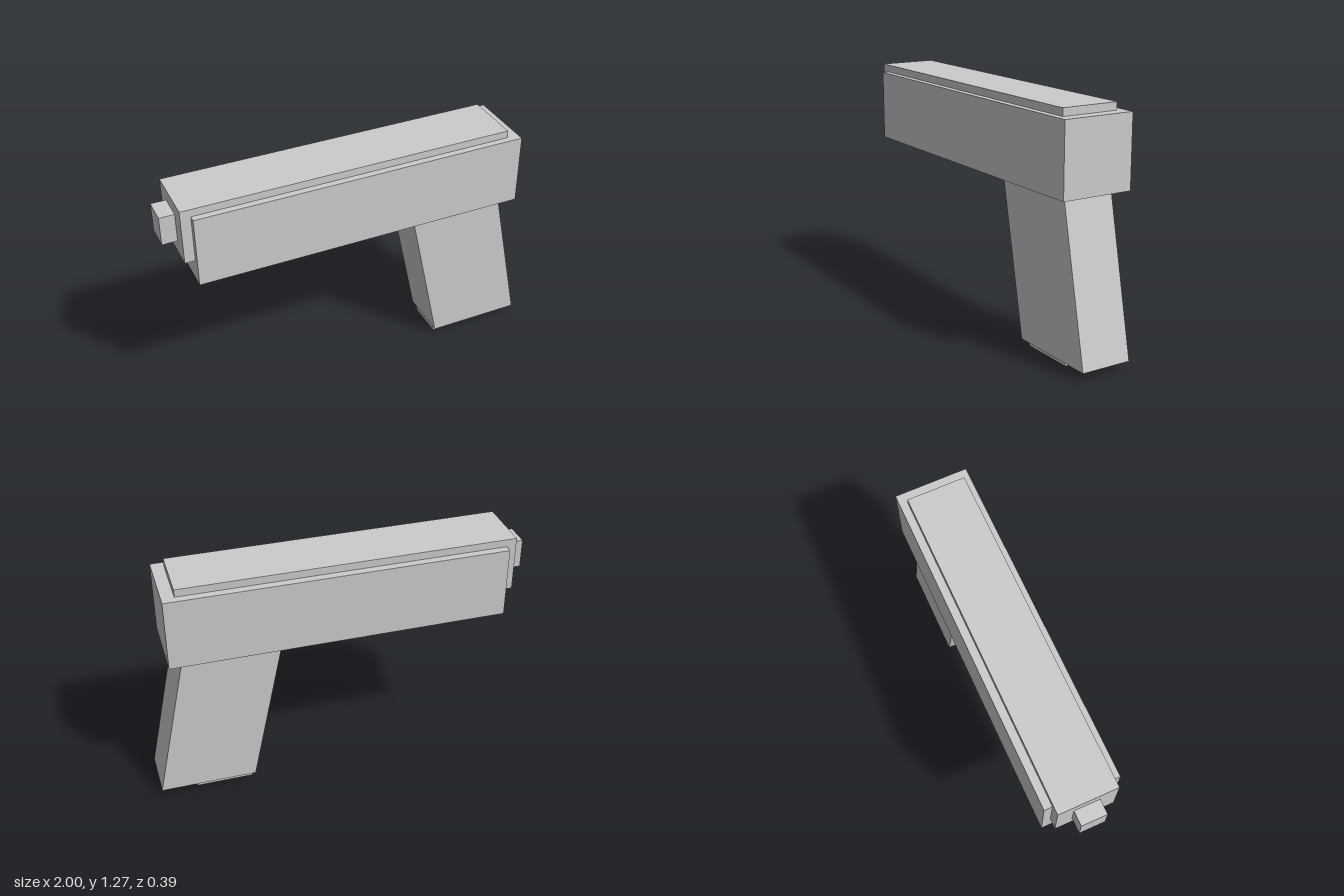
import * as THREE from 'three';

const material = new THREE.MeshStandardMaterial({ color: 0xcccccc, flatShading: true });

// Box given by its minimum and maximum on each axis
function block(name, [x0, x1], [y0, y1], [z0, z1]) {
  const geometry = new THREE.BoxGeometry(x1 - x0, y1 - y0, z1 - z0);
  geometry.translate((x0 + x1) / 2, (y0 + y1) / 2, (z0 + z1) / 2);
  const mesh = new THREE.Mesh(geometry, material);
  mesh.name = name;
  return mesh;
}

// Block whose top is shifted along x relative to its bottom
function slantedBlock(name, xRange, yRange, zRange, shift) {
  const mesh = block(name, xRange, yRange, zRange);
  const position = mesh.geometry.attributes.position;
  const middle = (yRange[0] + yRange[1]) / 2;
  for (let i = 0; i < position.count; i++) {
    if (position.getY(i) > middle) position.setX(i, position.getX(i) + shift);
  }
  mesh.geometry.computeVertexNormals();
  return mesh;
}

export function createModel() {
  const model = new THREE.Group();
  model.name = 'pistol';
  model.add(
    // Upper part: frame, the slide set into it, and the muzzle
    block('frame', [-0.87, 0.9], [0.853, 1.23], [-0.192, 0.195]),
    block('slide', [-0.922, 0.835], [0.976, 1.27], [-0.15, 0.16]),
    block('barrel', [-1, -0.8], [1.048, 1.202], [-0.065, 0.069]),
    // Raked handle with the magazine showing below it
    slantedBlock('grip', [0.488, 0.998], [0.042, 0.9], [-0.136, 0.138], -0.182),
    slantedBlock('magazine', [0.5, 0.805], [0, 0.8], [-0.101, 0.098], -0.17),
  );
  return model;
}
